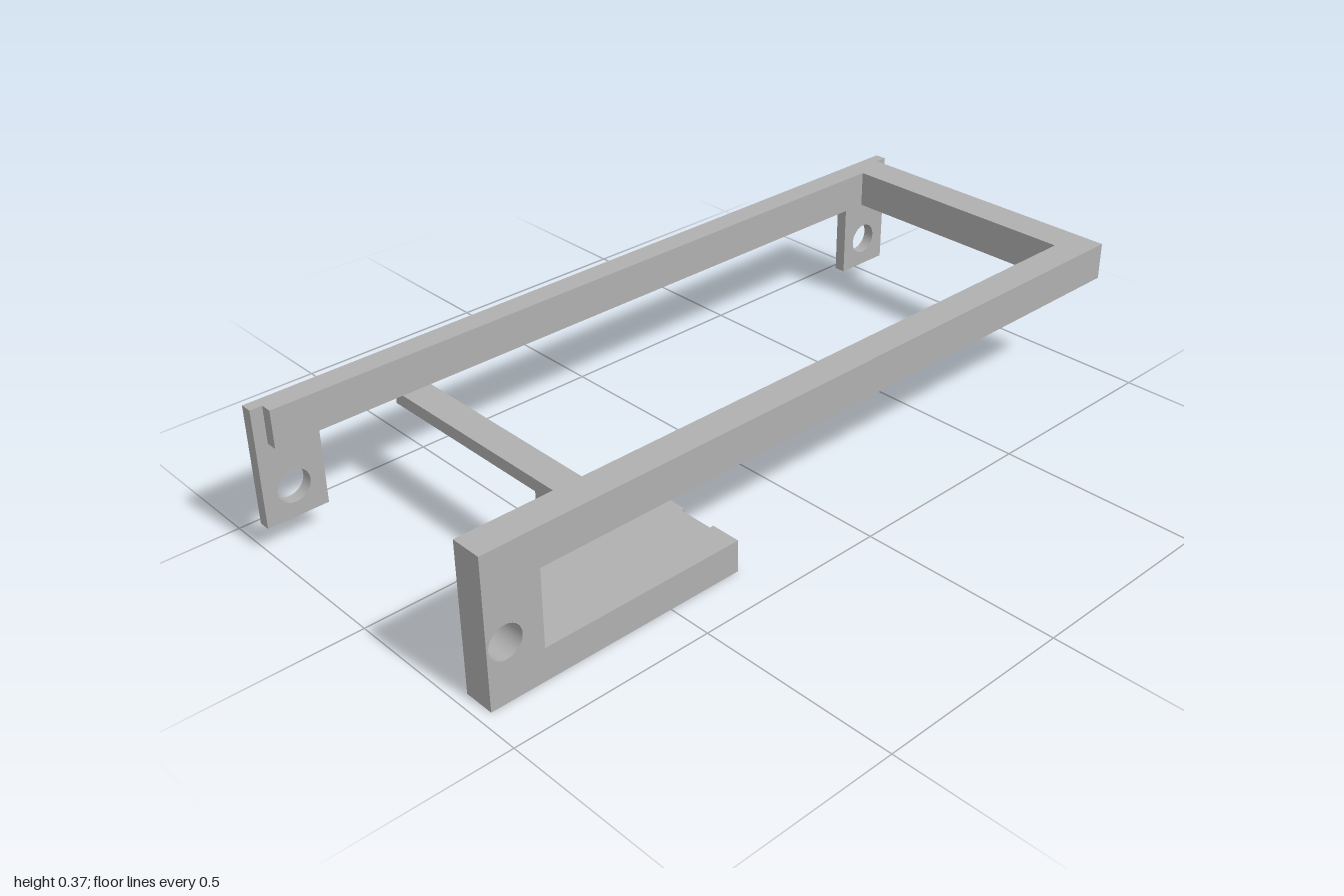
import * as THREE from 'three';

export function createModel() {
  const model = new THREE.Group();
  model.name = 'mountingFrame';
  const grey = new THREE.MeshStandardMaterial({ color: 0xb0b0b0 });
  grey.name = 'plainGrey';

  const add = (name, geometry) => {
    const mesh = new THREE.Mesh(geometry, grey);
    mesh.name = name;
    model.add(mesh);
  };

  // Box given by its limits along each axis
  const box = (name, x0, x1, y0, y1, z0, z1) => {
    const g = new THREE.BoxGeometry(x1 - x0, y1 - y0, z1 - z0);
    g.translate((x0 + x1) / 2, (y0 + y1) / 2, (z0 + z1) / 2);
    add(name, g);
  };

  // Flat outline with round screw holes, extruded from z0 to z1
  const plate = (name, points, holeXs, z0, z1) => {
    const shape = new THREE.Shape(points.map(([x, y]) => new THREE.Vector2(x, y)));
    for (const x of holeXs) {
      shape.holes.push(new THREE.Path().absarc(x, 0.146, 0.041, 0, Math.PI * 2, true));
    }
    const g = new THREE.ExtrudeGeometry(shape, { depth: z1 - z0, bevelEnabled: false, curveSegments: 32 });
    g.translate(0, 0, z0);
    add(name, g);
  };

  const top = 0.367, under = 0.273;

  // Front rail, post and foot in one C-shaped outline
  plate('frontFrame', [
    [-0.97, 0], [-0.305, 0], [-0.305, 0.081], [-0.832, 0.081],
    [-0.832, under], [0.968, under], [0.968, top], [-0.97, top],
  ], [-0.924], 0.313, 0.39);

  // Rear plate with a hanging ear at each end
  plate('rearPlate', [
    [-1, 0.068], [-0.846, 0.068], [-0.846, under], [0.846, under],
    [0.846, 0.068], [1, 0.068], [1, top], [-1, top],
  ], [-0.924, 0.922], -0.39, -0.36);

  // Rails closing the frame
  box('rearRail', -0.97, 0.968, under, top, -0.36, -0.331);
  box('sideRail', 0.876, 0.968, under, top, -0.331, 0.313);

  // Cross arm under the rear rail, with a catch at its free end
  box('crossArm', -0.646, -0.57, 0.242, under, -0.36, 0.138);
  box('armCatch', -0.646, -0.57, 0.208, under, 0.138, 0.215);

  // Clip shelf behind the foot
  box('shelfWeb', -0.817, -0.315, 0.014, 0.081, 0.222, 0.313);
  box('shelfLip', -0.83, -0.305, 0, 0.081, 0.152, 0.222);

  return model;
}
